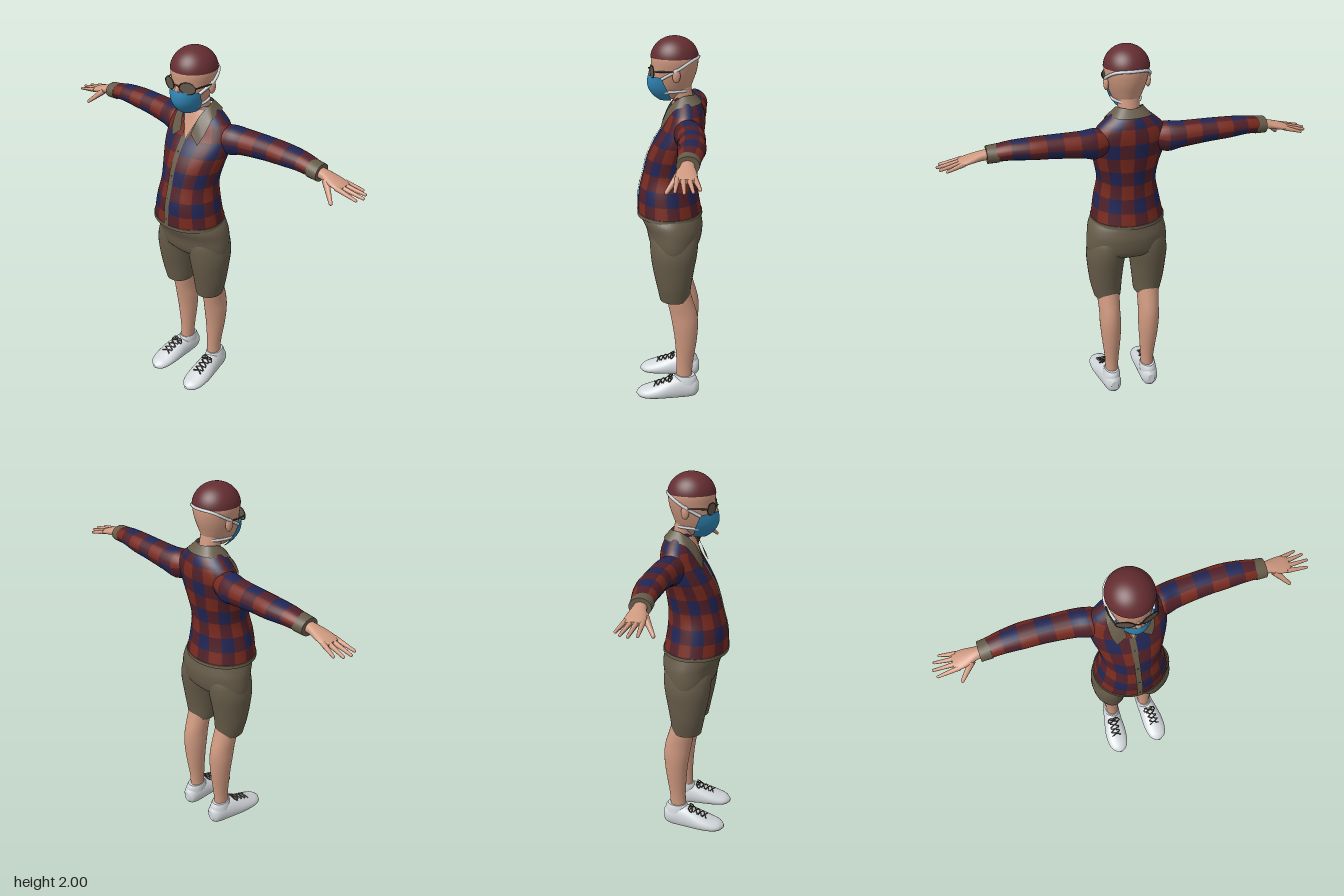
import * as THREE from 'three';
import { mergeGeometries } from 'three/addons/utils/BufferGeometryUtils.js';

const V = (x, y, z) => new THREE.Vector3(x, y, z);

function makeMaterials() {
  const colors = {
    skin: 0xce987f, hair: 0x642d31, khaki: 0x665b49, maskBlue: 0x2f84b4, white: 0xd2d7db,
    dark: 0x38332a, lens: 0x63574a, red: 0x782a1e, maroon: 0x502029, navy: 0x212553,
  };
  const m = {};
  for (const [name, color] of Object.entries(colors)) {
    m[name] = new THREE.MeshStandardMaterial({ color });
    m[name].name = name;
  }
  for (const n of ['khaki', 'maskBlue', 'lens']) m[n].side = THREE.DoubleSide;
  return m;
}

// Smooth interpolation of rows [t, cu, cv, ru, rv] at t
function sample(keys, t) {
  let i = 0;
  while (i < keys.length - 2 && t > keys[i + 1][0]) i++;
  const a = keys[i], b = keys[i + 1], p = keys[Math.max(i - 1, 0)], n = keys[Math.min(i + 2, keys.length - 1)];
  const h = b[0] - a[0], s = (t - a[0]) / h, s2 = s * s, s3 = s2 * s;
  return [1, 2, 3, 4].map((k) => {
    const ma = (b[k] - p[k]) / (b[0] - p[0]), mb = (n[k] - a[k]) / (n[0] - a[0]);
    return (2 * s3 - 3 * s2 + 1) * a[k] + (s3 - 2 * s2 + s) * h * ma + (3 * s2 - 2 * s3) * b[k] + (s3 - s2) * h * mb;
  });
}

// Grid surface from point(i, j); pick(i, j, y) chooses a material index per quad
function surface(rows, cols, point, { closed = false, caps = false, pick = null } = {}) {
  const pos = [], w = closed ? cols : cols + 1, buckets = [[], [], []];
  for (let i = 0; i <= rows; i++) for (let j = 0; j < w; j++) pos.push(...point(i, j).toArray());
  for (let i = 0; i < rows; i++) for (let j = 0; j < cols; j++) {
    const k = (j + 1) % w, a = i * w + j, b = a + w, c = i * w + k, d = c + w;
    const y = Math.max(...[a, b, c, d].map((q) => pos[q * 3 + 1]));
    buckets[pick ? pick(i, j, y) : 0].push(a, b, c, c, b, d);
  }
  if (caps) for (const i of [0, rows]) {
    const start = pos.length / 3, mid = V(0, 0, 0);
    for (let j = 0; j < w; j++) {
      const p = point(i, j);
      mid.addScaledVector(p, 1 / w);
      pos.push(...p.toArray());
    }
    pos.push(...mid.toArray());
    for (let j = 0; j < w; j++) {
      const a = start + j, b = start + (j + 1) % w;
      buckets[0].push(start + w, ...(i ? [b, a] : [a, b]));
    }
  }
  const g = new THREE.BufferGeometry();
  g.setAttribute('position', new THREE.Float32BufferAttribute(pos, 3));
  g.setIndex(buckets.flat());
  if (pick) {
    let at = 0;
    buckets.forEach((b, i) => { if (b.length) g.addGroup(at, b.length, i); at += b.length; });
  }
  g.computeVertexNormals();
  return g;
}

// Elliptical loft along an axis: y uses (x, z), x uses (z, y), z uses (y, x)
function loft(axis, keys, rows, cols, opts = {}) {
  const t0 = keys[0][0], t1 = keys[keys.length - 1][0];
  return surface(rows, cols, (i, j) => {
    const t = t0 + (t1 - t0) * i / rows, a = j / cols * Math.PI * 2, k = sample(keys, t);
    const u = k[0] + k[2] * Math.cos(a), v = k[1] + k[3] * Math.sin(a);
    return axis === 'y' ? V(u, t, v) : axis === 'x' ? V(t, v, u) : V(v, Math.max(u, 0), t);
  }, { closed: true, caps: true, ...opts });
}

function mirrored(g) {
  const m = g.clone(), p = m.attributes.position, ix = m.index.array;
  for (let i = 0; i < p.count; i++) p.setX(i, -p.getX(i));
  for (let i = 0; i < ix.length; i += 3) [ix[i], ix[i + 1]] = [ix[i + 1], ix[i]];
  m.computeVertexNormals();
  return m;
}

const tube = (pts, r, closed = false) => new THREE.TubeGeometry(new THREE.CatmullRomCurve3(pts.map((p) => V(...p)), closed), 32, r, 6, closed);
const ball = (x, y, z, rx, ry, rz) => new THREE.SphereGeometry(1, 20, 14).scale(rx, ry, rz).translate(x, y, z);
// Points on one side up to the middle, continued on the other side
const bothSides = (half) => [...half, ...half.slice(0, -1).reverse().map(([x, y, z]) => [-x, y, z])];

// Tapered finger with a rounded tip
function finger(a, b, r0, r1) {
  const p = V(...a), q = V(...b), d = q.clone().sub(p);
  const rot = new THREE.Quaternion().setFromUnitVectors(V(0, 1, 0), d.clone().normalize());
  const mid = p.clone().add(q).multiplyScalar(0.5);
  return mergeGeometries([
    new THREE.CylinderGeometry(r1, r0, d.length(), 10).applyQuaternion(rot).translate(mid.x, mid.y, mid.z),
    new THREE.SphereGeometry(r1, 10, 8).translate(q.x, q.y, q.z),
  ]);
}

const TORSO = [
  [1.075, -0.01, 0.003, 0.197, 0.172], [1.2, -0.006, 0.01, 0.174, 0.158], [1.3, -0.004, 0, 0.156, 0.144],
  [1.4, 0, -0.02, 0.17, 0.138], [1.48, 0, -0.045, 0.19, 0.125], [1.56, 0, -0.075, 0.195, 0.105],
  [1.62, 0, -0.085, 0.165, 0.09], [1.66, 0, -0.085, 0.12, 0.075], [1.7, 0, -0.08, 0.07, 0.055]];

// Point on the chest, lifted slightly
function chest(x, y, lift) {
  const [cx, cz, rx, rz] = sample(TORSO, y);
  return V(x, y, cz + rz * Math.sqrt(Math.max(0, 1 - ((x - cx) / rx) ** 2)) + lift);
}

export function createModel() {
  const root = new THREE.Group(), m = makeMaterials();
  root.name = 'figure';
  const add = (name, g, mat) => {
    const mesh = new THREE.Mesh(g, mat);
    mesh.name = name;
    root.add(mesh);
  };
  const pair = (name, g, mat) => {
    add('left' + name, g, mat);
    add('right' + name, mirrored(g), mat);
  };

  // Checked shirt: body, sleeves, cuffs
  const plaid = [m.maroon, m.red, m.navy];
  const check = (i, j) => {
    const a = (i >> 2) & 1, b = (j >> 2) & 1;
    return a !== b ? 0 : a ? 2 : 1;
  };
  add('shirtBody', loft('y', TORSO, 32, 64, { caps: false, pick: check }), plaid);
  pair('Sleeve', loft('x', [
    [0.1, -0.09, 1.555, 0.055, 0.05], [0.18, -0.1, 1.543, 0.074, 0.077], [0.25, -0.112, 1.55, 0.071, 0.067],
    [0.4, -0.12, 1.56, 0.066, 0.058], [0.5, -0.122, 1.563, 0.066, 0.053], [0.6, -0.118, 1.564, 0.058, 0.046],
    [0.68, -0.112, 1.556, 0.05, 0.04]], 28, 24, { pick: check }), plaid);
  pair('Cuff', loft('x', [[0.657, -0.112, 1.556, 0.054, 0.044], [0.712, -0.11, 1.552, 0.051, 0.042]], 2, 24), m.khaki);
  add('shirtHem', loft('y', [[1.07, -0.01, 0.003, 0.201, 0.175], [1.088, -0.01, 0.003, 0.199, 0.174]], 1, 64), m.khaki);

  // Button strip, buttons and open neck
  add('placket', surface(30, 2, (i, j) => chest(0.004 - j * 0.015, 1.08 + i * 0.465 / 30, 0.005)), m.khaki);
  for (const y of [1.12, 1.24, 1.36, 1.48]) {
    const p = chest(-0.011, y, 0.005);
    add('button', ball(p.x, p.y, p.z, 0.0045, 0.0045, 0.002), m.dark);
  }
  add('openNeck', surface(12, 8, (i, j) => {
    const y = 1.54 + i * 0.012;
    return chest((4 - j) / 4 * (y - 1.538) * 0.42 - 0.003, y, 0.004);
  }), m.skin);

  // Collar ruled between its neck edge and its outer edge, ending in points
  const edge = (half) => new THREE.CatmullRomCurve3(bothSides(half).map((p) => V(...p)));
  const inner = edge([[0.034, 1.575, 0.04], [0.052, 1.655, 0.002], [0.068, 1.71, -0.065], [0.046, 1.715, -0.113], [0, 1.712, -0.127]]);
  const outer = edge([[0.086, 1.53, 0.05], [0.105, 1.575, 0.026], [0.112, 1.655, -0.035], [0.086, 1.672, -0.136], [0, 1.672, -0.161]]);
  add('collar', surface(4, 48, (i, j) => outer.getPoint(j / 48).lerp(inner.getPoint(j / 48), i / 4)), m.khaki);
  pair('NeckEdging', surface(10, 1, (i, j) => {
    const y = 1.542 + i * 0.012;
    return chest((y - 1.538) * 0.42 + 0.009 - j * 0.01, y, 0.006);
  }), m.khaki);

  // Hands
  const fingers = [[-0.143, 0.9, -0.166], [-0.118, 0.93, -0.138], [-0.093, 0.942, -0.102], [-0.069, 0.928, -0.064]];
  pair('Palm', loft('x', [
    [0.68, -0.11, 1.553, 0.03, 0.026], [0.73, -0.108, 1.55, 0.033, 0.024], [0.78, -0.106, 1.54, 0.045, 0.02],
    [0.825, -0.106, 1.53, 0.048, 0.016], [0.845, -0.106, 1.527, 0.04, 0.01]], 14, 20), m.skin);
  for (const [z0, x, z] of fingers) pair('Finger', finger([0.82, 1.53, z0], [x, 1.511, z], 0.013, 0.007), m.skin);
  pair('Thumb', finger([0.755, 1.54, -0.08], [0.828, 1.472, -0.025], 0.018, 0.009), m.skin);

  // Shorts
  add('shortsSeat', loft('y', [
    [0.865, 0, -0.025, 0.17, 0.075], [0.885, 0, -0.025, 0.208, 0.11], [0.92, 0, -0.025, 0.221, 0.136],
    [1.0, 0, -0.022, 0.216, 0.152], [1.05, 0, -0.008, 0.205, 0.16], [1.085, -0.005, 0, 0.19, 0.16]], 24, 56), m.khaki);
  pair('ShortsLeg', loft('y', [
    [0.61, 0.114, -0.03, 0.073, 0.08], [0.64, 0.116, -0.029, 0.079, 0.085], [0.7, 0.12, -0.026, 0.088, 0.094],
    [0.8, 0.12, -0.024, 0.099, 0.112], [0.88, 0.116, -0.025, 0.107, 0.124], [0.95, 0.108, -0.025, 0.102, 0.127],
    [1.0, 0.1, -0.024, 0.088, 0.115], [1.03, 0.095, -0.02, 0.075, 0.095]], 28, 36), m.khaki);

  // Bare legs
  pair('Leg', loft('y', [
    [0.08, 0.108, -0.085, 0.036, 0.044], [0.14, 0.107, -0.085, 0.036, 0.044], [0.2, 0.107, -0.087, 0.039, 0.046],
    [0.35, 0.11, -0.092, 0.053, 0.061], [0.45, 0.112, -0.088, 0.059, 0.071], [0.52, 0.113, -0.079, 0.058, 0.074],
    [0.6, 0.114, -0.06, 0.061, 0.07], [0.66, 0.115, -0.05, 0.06, 0.062]], 28, 28), m.skin);

  // Shoes with soles, ankle rims and laces
  const shoe = [
    [-0.167, 0.05, 0.11, 0.03, 0.02], [-0.15, 0.05, 0.11, 0.055, 0.042], [-0.08, 0.05, 0.115, 0.074, 0.053],
    [-0.02, 0.045, 0.122, 0.07, 0.059], [0.05, 0.034, 0.128, 0.053, 0.066], [0.12, 0.022, 0.131, 0.036, 0.061],
    [0.165, 0.016, 0.131, 0.024, 0.042], [0.186, 0.013, 0.13, 0.009, 0.01]];
  pair('Shoe', loft('z', shoe, 32, 32, { pick: (i, j, y) => (y < (i > 20 ? 0.014 : 0.008) ? 1 : 0) }), [m.white, m.skin]);
  pair('ShoeRim', loft('y', [[0.08, 0.112, -0.093, 0.05, 0.066], [0.11, 0.11, -0.091, 0.046, 0.064], [0.128, 0.109, -0.09, 0.041, 0.054]], 6, 28), m.white);
  const laceAt = (z, a) => {
    const [cy, cx, ry, rx] = sample(shoe, z);
    return [cx + rx * Math.sin(a), cy + ry * Math.cos(a) + 0.001, z];
  };
  for (let i = 0; i < 4; i++) {
    const z = -0.015 + i * 0.026;
    for (const s of [-1, 1]) pair('Lace', tube([laceAt(z, -0.45 * s), laceAt(z + 0.012, 0), laceAt(z + 0.024, 0.45 * s)], 0.0035), m.dark);
  }
  for (const s of [-1, 1]) {
    const [x, y, z] = laceAt(-0.012, 0);
    pair('LaceBow', tube([[x, y + 0.003, z], [x + s * 0.026, y + 0.003, z - 0.004], [x + s * 0.036, y - 0.012, z + 0.012], [x + s * 0.016, y - 0.002, z + 0.016]], 0.003, true), m.dark);
  }

  // Neck, head, ears, hair
  add('neck', loft('y', [[1.5, 0, -0.09, 0.06, 0.055], [1.66, 0, -0.072, 0.054, 0.05], [1.78, 0, -0.045, 0.056, 0.056]], 10, 28), m.skin);
  add('head', loft('y', [
    [1.69, 0, 0.005, 0.025, 0.04], [1.705, 0, 0.003, 0.043, 0.068], [1.73, 0, -0.002, 0.063, 0.092], [1.78, 0, -0.01, 0.086, 0.106],
    [1.84, 0, -0.02, 0.103, 0.115], [1.9, 0, -0.022, 0.11, 0.117], [1.95, 0, -0.022, 0.088, 0.093]], 26, 40), m.skin);
  add('nose', ball(0, 1.805, 0.093, 0.014, 0.035, 0.018), m.skin);
  pair('Ear', ball(0.106, 1.82, -0.035, 0.013, 0.034, 0.02), m.skin);
  add('hair', new THREE.SphereGeometry(1, 40, 20, 0, Math.PI * 2, 0, Math.PI * 0.48).scale(0.114, 0.11, 0.121).translate(0, 1.89, -0.022), m.hair);

  // Glasses
  const seat = (g) => g.scale(0.043, 0.029, 0.043).rotateY(0.32).translate(0.058, 1.832, 0.088);
  pair('Lens', seat(new THREE.CircleGeometry(1, 28)), m.lens);
  pair('LensFrame', seat(new THREE.TorusGeometry(1, 0.055, 6, 28)), m.dark);
  pair('GlassesArm', tube([[0.098, 1.838, 0.074], [0.111, 1.84, 0.02], [0.112, 1.838, -0.04]], 0.004), m.dark);
  add('glassesBridge', tube([[-0.018, 1.836, 0.101], [0, 1.842, 0.108], [0.018, 1.836, 0.101]], 0.003), m.dark);

  // Face mask, wrapping further back towards the chin, and its straps
  const mask = [[1.683, 0, -0.002, 0.034, 0.058], [1.705, 0, -0.002, 0.055, 0.088], [1.74, 0, -0.004, 0.078, 0.115],
    [1.775, 0, -0.005, 0.091, 0.122], [1.812, 0, -0.006, 0.1, 0.117]];
  add('faceMask', surface(16, 28, (i, j) => {
    const s = 1 - j / 14, f = i / 16, y = 1.683 + f * 0.129, a = s * (1.65 - 0.45 * f), k = sample(mask, y);
    return V(k[2] * Math.sin(a), y - s * s * 0.006 * f, k[1] + k[3] * Math.cos(a));
  }), m.maskBlue);
  add('upperStrap', tube(bothSides([[0.09, 1.8, 0.04], [0.11, 1.85, -0.045], [0.08, 1.888, -0.109], [0, 1.898, -0.142]]), 0.008), m.white);
  add('lowerStrap', tube(bothSides([[0.066, 1.73, 0.025], [0.07, 1.735, -0.03], [0.05, 1.735, -0.075], [0, 1.735, -0.1]]), 0.007), m.white);

  return root;
}
